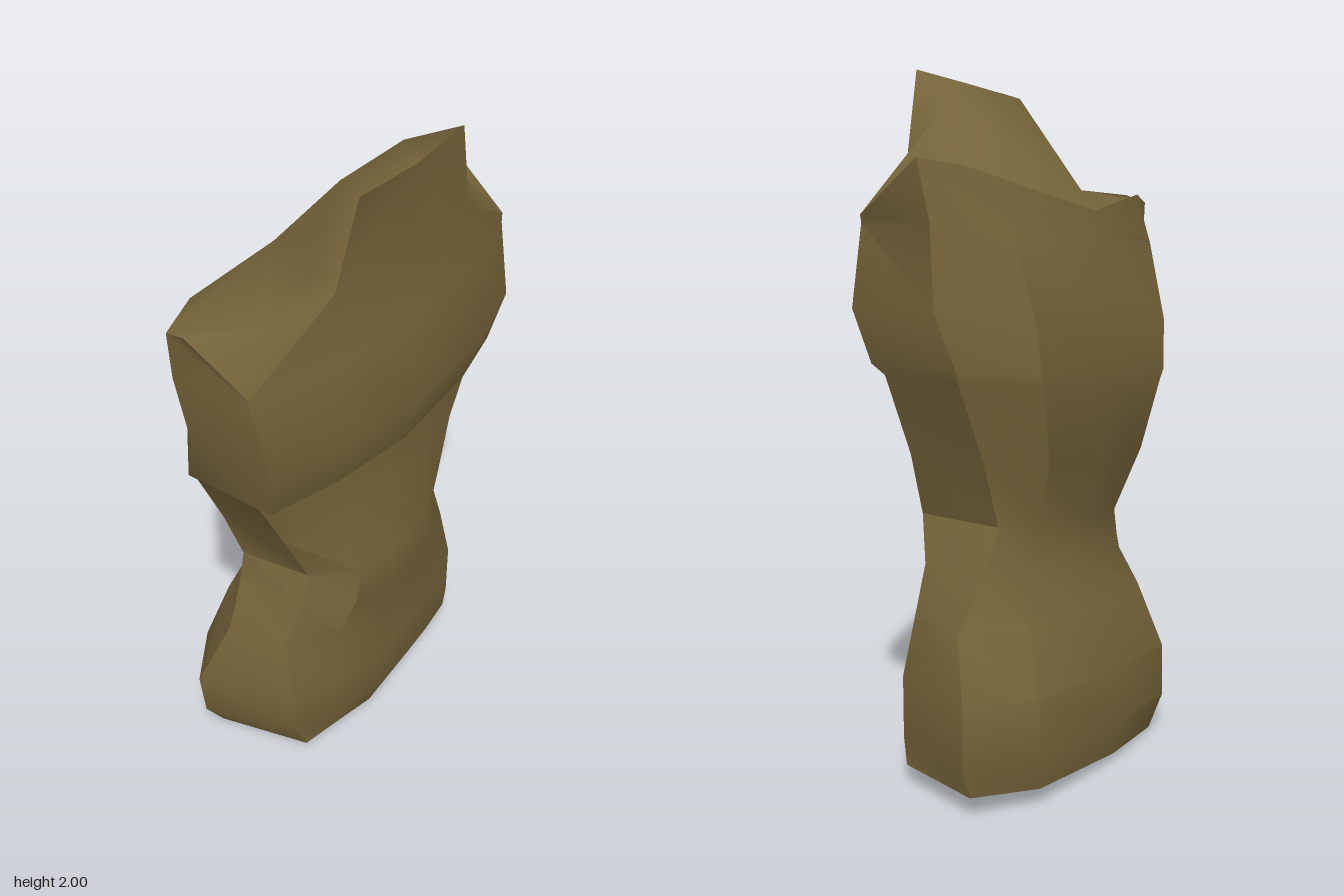
import * as THREE from 'three';
import { toCreasedNormals } from 'three/addons/utils/BufferGeometryUtils.js';

// Cross-sections from hips to chest:
// [y at +z, y at -z, front x, back x, +z front edge, +z back edge, -z front edge, -z back edge,
//  +z side front x, -z side front x, side back x]
const SECTIONS = [
  [0.00, 0.06, 0.165, -0.31, 0.27, 0.37, 0.50, 0.58, 0.13, 0.08, -0.15],
  [0.10, 0.14, 0.205, -0.33, 0.31, 0.44, 0.50, 0.61, 0.13, 0.09, -0.15],
  [0.25, 0.32, 0.21, -0.32, 0.33, 0.46, 0.50, 0.61, 0.13, 0.09, -0.15],
  [0.46, 0.48, 0.21, -0.26, 0.32, 0.38, 0.47, 0.54, 0.10, 0.07, -0.08],
  [0.59, 0.62, 0.25, -0.21, 0.27, 0.31, 0.41, 0.45, 0.12, 0.08, -0.10],
  [0.69, 0.75, 0.25, -0.21, 0.24, 0.29, 0.36, 0.385, 0.12, 0.13, -0.10],
  [0.88, 0.93, 0.20, -0.27, 0.34, 0.37, 0.42, 0.435, 0.12, 0.12, -0.09],
  [1.08, 1.16, 0.205, -0.295, 0.45, 0.47, 0.51, 0.53, 0.13, 0.13, -0.08],
  [1.11, 1.19, 0.28, -0.295, 0.48, 0.50, 0.52, 0.54, 0.21, 0.17, -0.08],
  [1.26, 1.34, 0.33, -0.285, 0.52, 0.525, 0.56, 0.565, 0.26, 0.20, -0.03],
  [1.49, 1.57, 0.295, -0.21, 0.54, 0.58, 0.55, 0.565, 0.21, 0.17, -0.02],
];

// Uneven upper rim, in the same order as a cross-section
const RIM = [
  [0.26, 1.70, 0], [0.25, 1.70, 0.27], [0.21, 1.50, 0.54], [-0.02, 1.625, 0.59], [-0.07, 1.65, 0.46],
  [-0.20, 1.60, 0.02], [-0.12, 1.715, -0.47], [-0.05, 1.735, -0.58], [0.16, 1.59, -0.565], [0.25, 1.74, -0.27],
];

// Front edge of the neck, then the shoulder peak
const NECK = [[0.30, 1.965, 0.24], [0.28, 1.965, 0], [0.27, 2.0, -0.2]];
const PEAK = [0.06, 1.65, 0.605];

// Raised points of the neck and shoulder slope
const SLOPE = [[0.20, 1.67, 0.47], [0.19, 1.75, 0.28], [0.16, 1.935, 0.15], [0.155, 1.96, -0.10], [0.13, 1.91, -0.22]];

function section([yP, yM, xf, xb, zfP, zbP, zfM, zbM, sfP, sfM, sb]) {
  const plan = [
    [xf, 0], [xf - 0.02, zfP * 0.55], [sfP, zfP], [sb, zbP], [xb + 0.045, zbP * 0.66],
    [xb, -0.03], [xb, -zbM * 0.69], [sb - 0.06, -zbM], [sfM, -zfM], [xf - 0.045, -zfM * 0.6],
  ];
  return plan.map(([x, z]) => [x, yM + (yP - yM) * (z + zbM) / (zbM + zbP), z]);
}

function geometryOf(points, faces) {
  const g = new THREE.BufferGeometry();
  g.setAttribute('position', new THREE.Float32BufferAttribute(points.flat(), 3));
  g.setIndex(faces.flat());
  g.computeVertexNormals();
  return g;
}

export function createModel() {
  const group = new THREE.Group();
  group.name = 'torso';
  const bronze = new THREE.MeshStandardMaterial({ color: 0x75643a, side: THREE.DoubleSide });
  bronze.name = 'dull bronze';

  const add = (name, geometry) => {
    const mesh = new THREE.Mesh(geometry, bronze);
    mesh.name = name;
    group.add(mesh);
  };

  // Body shell, with the front of the neck and the shoulder peak
  const rings = [...SECTIONS.map(section), RIM];
  const n = RIM.length;
  const faces = [];
  for (let j = 0; j < rings.length - 1; j++) {
    for (let i = 0; i < n; i++) {
      const k = (i + 1) % n;
      const a = j * n + i, b = j * n + k, c = b + n, d = a + n;
      faces.push([a, d, c], [a, c, b]);
    }
  }
  const top = (rings.length - 1) * n, neck = top + n;
  faces.push(
    [top + 1, top, neck + 1], [top + 1, neck + 1, neck],
    [top, top + 9, neck + 2], [top, neck + 2, neck + 1],
    [top + 2, neck + 3, top + 3],
  );
  add('body', toCreasedNormals(geometryOf([...rings.flat(), ...NECK, PEAK], faces), 0.6));

  // Smooth top: rim 0-9, neck 10-12, peak 13, slope 14-18
  const slopeFaces = [
    // back slope up to the neck
    [5, 4, 3], [5, 3, 14], [5, 14, 15], [5, 15, 16], [5, 16, 17], [5, 17, 18], [5, 18, 6],
    // top of the neck
    [16, 15, 10], [16, 10, 11], [16, 11, 17], [17, 11, 12], [17, 12, 18],
    // +z shoulder
    [3, 13, 14], [13, 2, 14], [14, 2, 1], [14, 1, 15], [15, 1, 10],
    // -z shoulder
    [18, 12, 9], [18, 9, 8], [18, 8, 6], [6, 8, 7],
  ];
  add('shoulderTop', geometryOf([...RIM, ...NECK, PEAK, ...SLOPE], slopeFaces));

  // Underside
  const base = [[-0.08, 0.015, -0.05], ...rings[0]];
  const under = rings[0].map((_, i) => [0, i + 1, (i + 1) % n + 1]);
  add('underside', geometryOf(base, under));

  return group;
}
